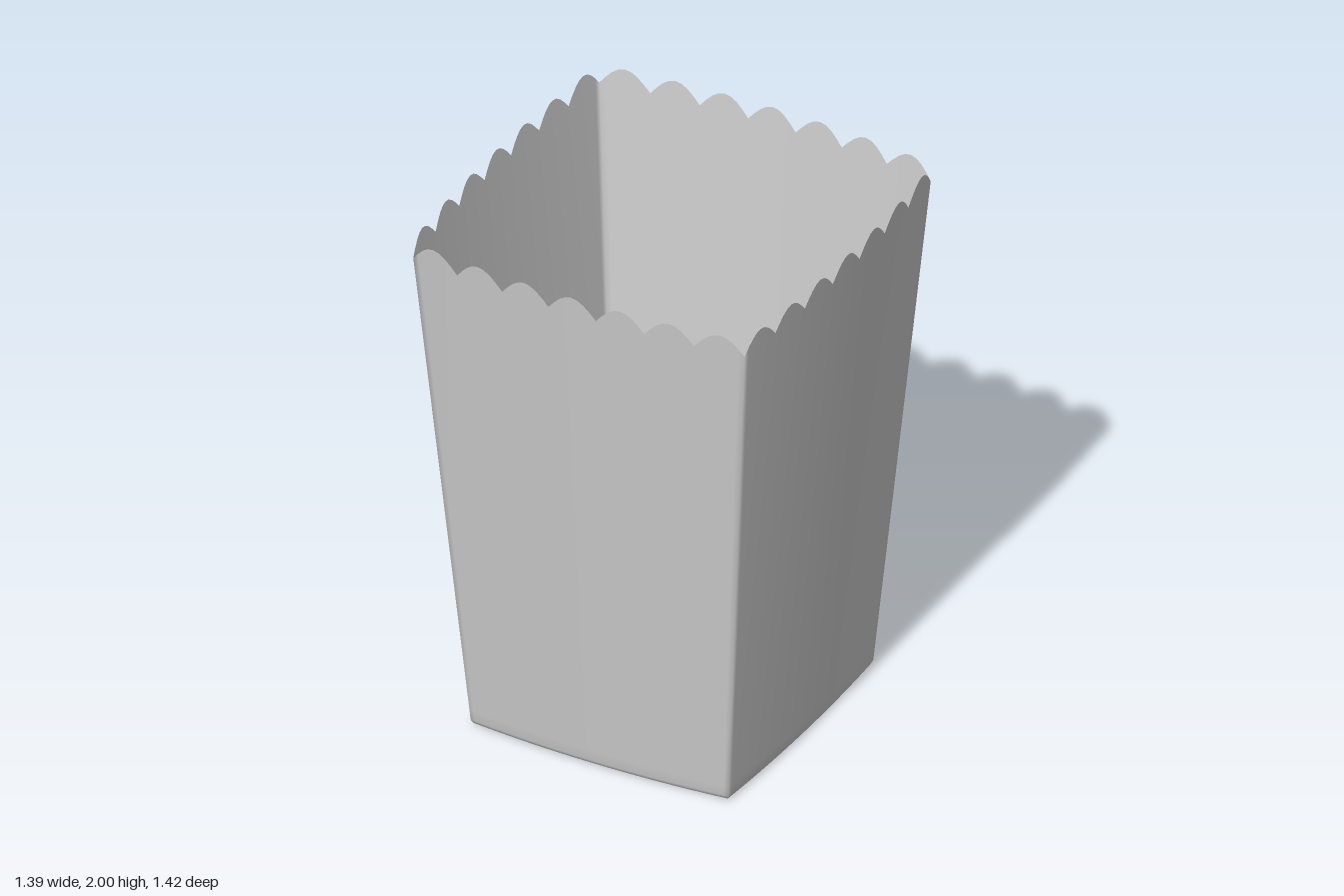
import * as THREE from 'three';

const { lerp } = THREE.MathUtils;
const SCALLOPS = 7, STEPS = 8, PER_SIDE = SCALLOPS * STEPS;

// Outward normal, running direction and bulge at base / rim of each wall
const sides = [
  { name: 'front', n: [0, 1], t: [1, 0], bulge: [0.535, 0.71] },
  { name: 'left', n: [1, 0], t: [0, -1], bulge: [0.525, 0.695] },
  { name: 'back', n: [0, -1], t: [-1, 0], bulge: [0.535, 0.71] },
  { name: 'right', n: [-1, 0], t: [0, 1], bulge: [0.525, 0.695] },
];

// Point on a bowed, tapering wall; u runs from corner (-1) to corner (1)
function wallPoint(side, u, y, scale = 1) {
  const k = y / 2;
  const corner = lerp(0.508, 0.66, k);
  const out = (corner + (lerp(...side.bulge, k) - corner) * (1 - u * u)) * scale;
  const along = corner * u * scale;
  return [side.n[0] * out + side.t[0] * along, y, side.n[1] * out + side.t[1] * along];
}

// Four walls as one closed ring with a scalloped rim and a small tucked base edge
function wallGeometry() {
  const rows = [[0, 0.975], [0.006, 0.99], [0.02, 1], [0.06, 1], [0.5, 1], [1, 1], [1.5, 1], [1.85, 1], [2, 1]];
  const count = PER_SIDE * 4;
  const positions = [], index = [];
  rows.forEach(([rowY, scale], r) => {
    for (const side of sides) {
      for (let i = 0; i < PER_SIDE; i++) {
        const rim = 1.93 + 0.07 * Math.sin(Math.PI * (i % STEPS) / STEPS);
        const y = r === rows.length - 1 ? rim : rowY;
        positions.push(...wallPoint(side, -1 + 2 * i / PER_SIDE, y, scale));
      }
    }
    if (r === 0) return;
    for (let i = 0; i < count; i++) {
      const a = (r - 1) * count + i, b = (r - 1) * count + (i + 1) % count;
      index.push(a, b, b + count, a, b + count, a + count);
    }
  });
  const geometry = new THREE.BufferGeometry();
  geometry.setAttribute('position', new THREE.Float32BufferAttribute(positions, 3));
  geometry.setIndex(index);
  geometry.computeVertexNormals();
  return geometry;
}

// Tapered bottom flap, folded in from one wall and reaching past the centre
function flapGeometry(side) {
  const points = [];
  for (let i = 0; i <= 16; i++) {
    const [x, , z] = wallPoint(side, -1 + i / 8, 0, 0.98);
    points.push(new THREE.Vector2(x, -z));
  }
  for (const s of [0.32, -0.32]) {
    points.push(new THREE.Vector2(
      -0.17 * side.n[0] + s * side.t[0],
      0.17 * side.n[1] - s * side.t[1]));
  }
  return new THREE.ShapeGeometry(new THREE.Shape(points)).rotateX(-Math.PI / 2);
}

export function createModel() {
  const group = new THREE.Group();
  group.name = 'scallopedBox';
  const material = new THREE.MeshStandardMaterial({ color: 0xcccccc, side: THREE.DoubleSide });

  const walls = new THREE.Mesh(wallGeometry(), material);
  walls.name = 'walls';
  group.add(walls);

  // Overlapping flaps form the floor
  const heights = { right: 0, front: 0.004, back: 0.008, left: 0.012 };
  for (const side of sides) {
    const flap = new THREE.Mesh(flapGeometry(side), material);
    flap.name = side.name + 'BottomFlap';
    flap.position.y = heights[side.name];
    group.add(flap);
  }
  return group;
}
